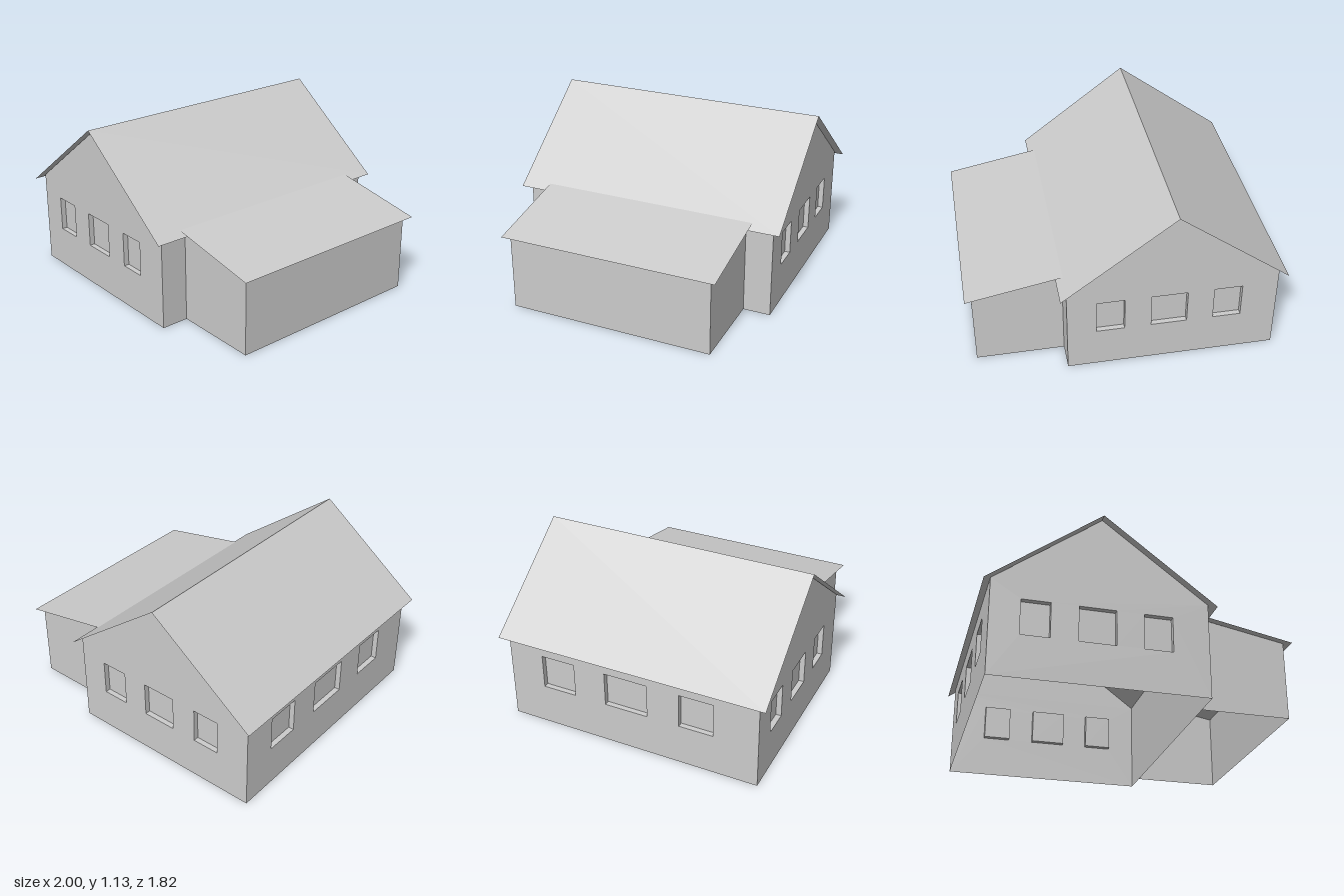
import * as THREE from 'three';

const material = new THREE.MeshStandardMaterial({ color: 0xcccccc, side: THREE.DoubleSide, flatShading: true });

const HOUSE_X = -0.283, HALF_W = 0.672, HALF_D = 0.86; // main block
const EAVE = 0.622, PEAK = 1.126;
const SILL = 0.275, HEAD = 0.505, RECESS = 0.035;
// window spans as fractions of the half wall width
const SPANS = [[-0.725, -0.457], [-0.204, 0.138], [0.391, 0.659]];

function mesh(name, geometry) {
  const m = new THREE.Mesh(geometry, material);
  m.name = name;
  return m;
}

// Upright wall in the local XY plane, facing +z, with optional recessed windows
function wall(name, outline, windowHalf = 0) {
  const group = new THREE.Group();
  group.name = name;
  const shape = new THREE.Shape(outline.map(([x, y]) => new THREE.Vector2(x, y)));
  if (windowHalf) {
    SPANS.forEach(([a, b], i) => {
      const x0 = a * windowHalf, x1 = b * windowHalf;
      shape.holes.push(new THREE.Path([
        new THREE.Vector2(x0, SILL), new THREE.Vector2(x0, HEAD),
        new THREE.Vector2(x1, HEAD), new THREE.Vector2(x1, SILL),
      ]));
      // box without its outer face: four reveals and the pane
      const box = new THREE.BoxGeometry(x1 - x0, HEAD - SILL, RECESS);
      const index = Array.from(box.index.array);
      index.splice(24, 6);
      box.setIndex(index);
      box.clearGroups();
      const pane = mesh(`window${i + 1}`, box);
      pane.position.set((x0 + x1) / 2, (SILL + HEAD) / 2, -RECESS / 2);
      group.add(pane);
    });
  }
  group.add(mesh(name + 'Panel', new THREE.ShapeGeometry(shape)));
  return group;
}

// Thin sheet swept along z from a profile running left to right
function sheet(name, profile, halfZ) {
  const pos = [];
  for (let i = 0; i + 1 < profile.length; i++) {
    const [ax, ay] = profile[i], [bx, by] = profile[i + 1];
    pos.push(ax, ay, halfZ, bx, by, halfZ, bx, by, -halfZ);
    pos.push(ax, ay, halfZ, bx, by, -halfZ, ax, ay, -halfZ);
  }
  const g = new THREE.BufferGeometry();
  g.setAttribute('position', new THREE.Float32BufferAttribute(pos, 3));
  g.computeVertexNormals();
  return mesh(name, g);
}

function place(object, x, z, turn = 0) {
  object.position.set(x, 0, z);
  object.rotation.y = turn;
  return object;
}

const rectangle = (half, h) => [[-half, 0], [half, 0], [half, h], [-half, h]];

export function createModel() {
  const model = new THREE.Group();
  model.name = 'house';

  // Main block: two gables, a windowed side wall and a plain side wall
  const gable = [[-HALF_W, 0], [HALF_W, 0], [HALF_W, EAVE], [0, PEAK], [-HALF_W, EAVE]];
  model.add(
    place(wall('frontGable', gable, HALF_W), HOUSE_X, HALF_D),
    place(wall('backGable', gable, HALF_W), HOUSE_X, -HALF_D, Math.PI),
    place(wall('windowSideWall', rectangle(HALF_D, EAVE), HALF_D), HOUSE_X - HALF_W, 0, -Math.PI / 2),
    place(wall('plainSideWall', rectangle(HALF_D, EAVE)), HOUSE_X + HALF_W, 0, Math.PI / 2),
    sheet('mainRoof', [[-1, 0.592], [HOUSE_X, 1.13], [0.432, 0.592]], 0.912),
  );

  // Side annex with a lean-to roof
  const x0 = HOUSE_X + HALF_W, x1 = 0.957, halfZ = 0.68;
  const cheek = [[x0, 0], [x1, 0], [x1, 0.516], [x0, 0.62]];
  model.add(
    place(wall('annexFront', cheek), 0, halfZ),
    place(wall('annexBack', cheek.map(([x, y]) => [-x, y])), 0, -halfZ, Math.PI),
    place(wall('annexSide', rectangle(halfZ, 0.516)), x1, 0, Math.PI / 2),
    sheet('annexRoof', [[0.388, 0.626], [1, 0.51]], 0.72),
  );
  return model;
}
